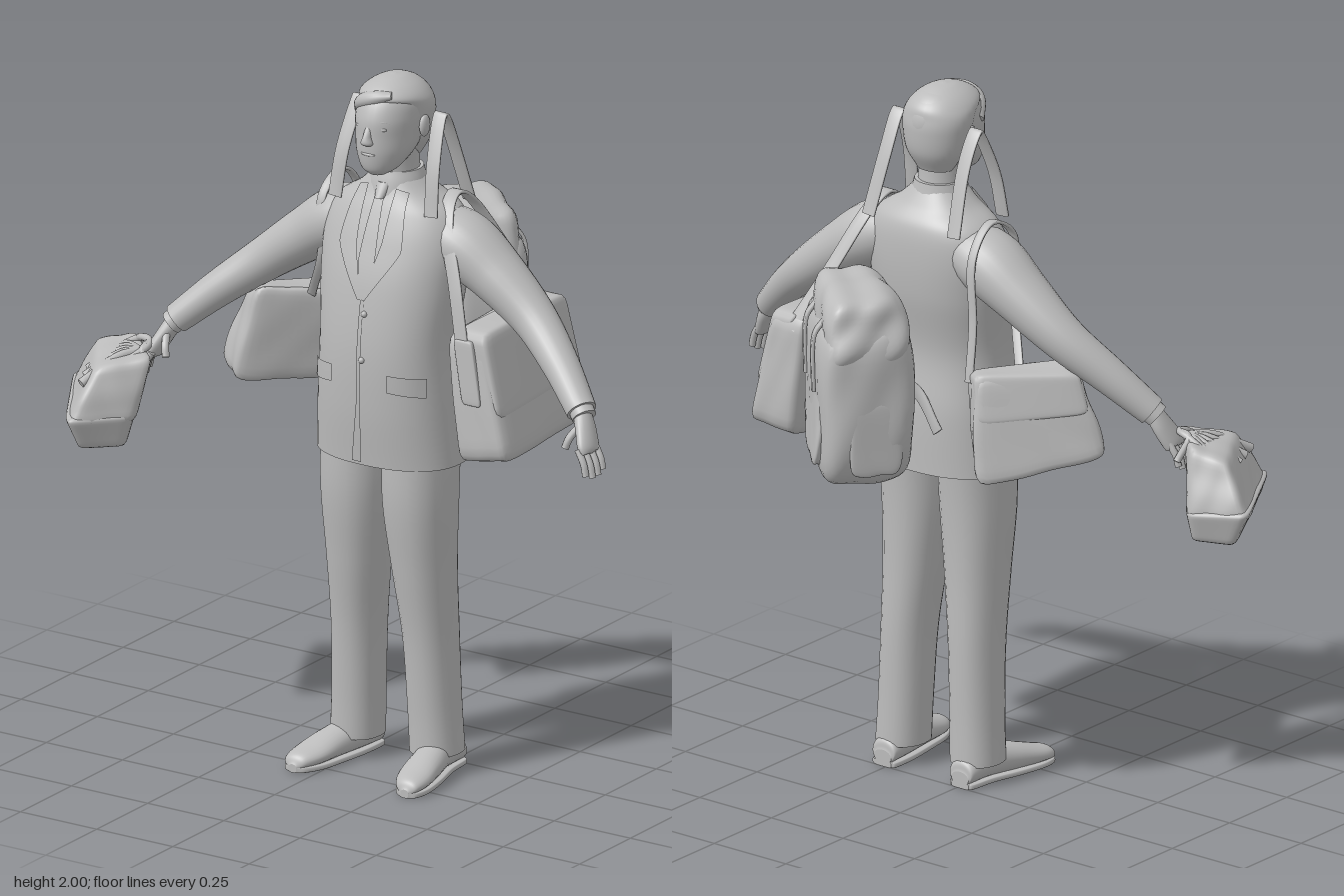
import * as THREE from 'three';
import { mergeVertices } from 'three/addons/utils/BufferGeometryUtils.js';

const grey = new THREE.MeshStandardMaterial({ color: 0xbcbcbc, side: THREE.DoubleSide });
grey.name = 'plain grey';
const V = (x, y, z) => new THREE.Vector3(x, y, z);
const X = V(1, 0, 0), Y = V(0, 1, 0), Z = V(0, 0, 1);

// Makes the faces point outward, then adds smooth normals
function finish(geo) {
  const p = geo.attributes.position, id = Array.from(geo.index.array);
  const a = V(), b = V(), c = V();
  let vol = 0;
  for (let i = 0; i < id.length; i += 3) {
    a.fromBufferAttribute(p, id[i]); b.fromBufferAttribute(p, id[i + 1]); c.fromBufferAttribute(p, id[i + 2]);
    vol += a.dot(b.cross(c));
  }
  if (vol < 0) for (let i = 0; i < id.length; i += 3) [id[i], id[i + 1]] = [id[i + 1], id[i]];
  geo.setIndex(id);
  geo.computeVertexNormals();
  return geo;
}

function add(parent, name, geo) {
  const m = new THREE.Mesh(geo, grey);
  m.name = name;
  parent.add(m);
  return m;
}

// Smooth path and radii through keys [x, y, z, radiusA, radiusB]
const curves = keys => [keys.map(k => V(k[0], k[1], k[2])), keys.map(k => V(k[3], k[4], 0))]
  .map(pts => new THREE.CatmullRomCurve3(pts, false, 'catmullrom'));

// Sweeps a (super)ellipse through the keys; radius B lies along ref
function sweep(keys, { ref = Z, axis = null, seg = 24, n = 8, power = 2 } = {}) {
  const [path, radii] = curves(keys);
  const rows = (keys.length - 1) * n, pos = [], idx = [];
  for (let i = 0; i <= rows; i++) {
    const c = path.getPoint(i / rows), r = radii.getPoint(i / rows);
    const t = axis || path.getTangent(i / rows);
    const a = V().crossVectors(t, ref).normalize(), b = V().crossVectors(a, t).normalize();
    for (let j = 0; j < seg; j++) {
      const w = j / seg * Math.PI * 2, cs = Math.cos(w), sn = Math.sin(w);
      const q = c.clone()
        .addScaledVector(a, Math.sign(cs) * Math.abs(cs) ** (2 / power) * Math.max(r.x, 0.001))
        .addScaledVector(b, Math.sign(sn) * Math.abs(sn) ** (2 / power) * Math.max(r.y, 0.001));
      pos.push(q.x, q.y, q.z);
      if (i < rows) {
        const u = i * seg + j, v = i * seg + (j + 1) % seg;
        idx.push(u, v, v + seg, u, v + seg, u + seg);
      }
    }
  }
  for (const row of [0, rows]) { // end caps with their own corners
    const s = pos.length / 3;
    pos.push(...pos.slice(row * seg * 3, (row + 1) * seg * 3));
    for (let j = 1; j < seg - 1; j++) row ? idx.push(s, s + j, s + j + 1) : idx.push(s, s + j + 1, s + j);
  }
  const g = new THREE.BufferGeometry();
  g.setAttribute('position', new THREE.Float32BufferAttribute(pos, 3));
  g.setIndex(idx);
  return finish(g);
}
const cord = (pts, r) => sweep(pts.map(p => [...p, r, r]), { seg: 8, ref: V(0.3, 0.2, 1) });
const band = (pts, width, ref = X) => sweep(pts.map(p => [...p, 0.005, width / 2]), { seg: 8, power: 8, ref });

// Soft box fitted between a bottom and a top quad, each four [x, y, z] corners in order
function softBox(bottom, top, k = 7, fold = 0) {
  let g = new THREE.BoxGeometry(2, 2, 2, 14, 14, 14);
  g.deleteAttribute('normal'); g.deleteAttribute('uv');
  g = mergeVertices(g, 1e-4);
  const p = g.attributes.position;
  const mix = (q, u, v) => V(...q[0]).lerp(V(...q[1]), u).lerp(V(...q[3]).lerp(V(...q[2]), u), v);
  for (let i = 0; i < p.count; i++) {
    const c = V().fromBufferAttribute(p, i);
    c.divideScalar((Math.abs(c.x) ** k + Math.abs(c.y) ** k + Math.abs(c.z) ** k) ** (1 / k));
    const d = 1 + fold * (Math.sin(c.x * 6 + c.y * 4) + Math.sin(c.z * 7 - c.y * 5 + 1)) / 2;
    c.multiplyScalar(d);
    const u = (c.x + 1) / 2, v = (c.z + 1) / 2;
    const q = mix(bottom, u, v).lerp(mix(top, u, v), (c.y + 1) / 2);
    p.setXYZ(i, q.x, q.y, q.z);
  }
  return finish(g);
}
const atY = (quad, y) => quad.map(([x, z]) => [x, y, z]);

// Jacket body
const TORSO = [[0, 0.91, 0.105, 0.22, 0.155], [0, 1.08, 0.115, 0.207, 0.16], [0, 1.25, 0.125, 0.196, 0.15],
  [0, 1.42, 0.1, 0.21, 0.152], [0, 1.54, 0.08, 0.215, 0.138], [0, 1.62, 0.07, 0.185, 0.118],
  [0, 1.67, 0.075, 0.115, 0.09], [0, 1.71, 0.08, 0.072, 0.07]];
const [torsoPath, torsoRadii] = curves(TORSO);
function frontZ(x, y) {
  let lo = 0, hi = 1;
  for (let i = 0; i < 20; i++) {
    const mid = (lo + hi) / 2;
    if (torsoPath.getPoint(mid).y < y) lo = mid; else hi = mid;
  }
  const r = torsoRadii.getPoint(lo);
  return torsoPath.getPoint(lo).z + r.y * Math.max(0, 1 - Math.abs(x / r.x) ** 2.3) ** (1 / 2.3);
}
// Thin cloth patch on the jacket front, between two edges of [x, y] points
function patch(edgeA, edgeB, lift, side = 1) {
  const curve = e => new THREE.CatmullRomCurve3(e.map(p => V(p[0], p[1], 0)), false, 'catmullrom', 0.2);
  const a = curve(edgeA), b = curve(edgeB), g = new THREE.PlaneGeometry(1, 1, 6, 24), p = g.attributes.position;
  for (let i = 0; i < p.count; i++) {
    const u = p.getX(i) + 0.5, q = a.getPoint(p.getY(i) + 0.5).lerp(b.getPoint(p.getY(i) + 0.5), u);
    p.setXYZ(i, q.x * side, q.y, frontZ(q.x, q.y) + lift);
  }
  const id = g.index.array, c = [0, 1, 2].map(k => V().fromBufferAttribute(p, id[72 * 2 + k]));
  if (c[1].sub(c[0]).cross(c[2].sub(c[0])).z < 0) g.setIndex(Array.from(id).reverse());
  g.computeVertexNormals();
  return g;
}

function buildMan() {
  const man = new THREE.Group();
  man.name = 'man';
  add(man, 'jacket', sweep(TORSO, { axis: Y, seg: 48, power: 2.3 }));
  add(man, 'tie', patch([[-0.014, 1.67], [-0.026, 1.5], [-0.008, 1.39]], [[0.014, 1.67], [0.026, 1.5], [0.008, 1.39]], 0.006));
  add(man, 'tieKnot', sweep([[0, 1.7, 0.15, 0.022, 0.014], [0, 1.66, 0.172, 0.014, 0.014]], { axis: Y }));
  add(man, 'frontOpening', patch([[-0.004, 1.39], [-0.006, 1.1], [-0.03, 0.92]], [[0.008, 1.39], [0.008, 1.1], [0.0, 0.92]], 0.004));
  for (const y of [1.35, 1.22]) add(man, 'button', new THREE.SphereGeometry(0.009, 12, 8)).position.set(0.01, y, frontZ(0, y));

  // Head
  add(man, 'neck', sweep([[0, 1.64, 0.075, 0.07, 0.07], [0, 1.73, 0.085, 0.062, 0.064], [0, 1.82, 0.095, 0.062, 0.07]], { axis: Y }));
  add(man, 'collar', sweep([[0, 1.66, 0.082, 0.088, 0.088], [0, 1.7, 0.082, 0.08, 0.078], [0, 1.73, 0.08, 0.07, 0.07]], { axis: Y }));
  add(man, 'head', sweep([[0, 1.735, 0.18, 0.024, 0.025], [0, 1.755, 0.165, 0.052, 0.06], [0, 1.8, 0.137, 0.077, 0.097],
    [0, 1.85, 0.115, 0.087, 0.119], [0, 1.9, 0.105, 0.092, 0.125], [0, 1.95, 0.1, 0.085, 0.108], [0, 1.983, 0.1, 0.055, 0.072],
    [0, 1.997, 0.1, 0.01, 0.01]], { axis: Y, seg: 36 }));
  add(man, 'hair', sweep([[0, 1.765, 0.06, 0.055, 0.042], [0, 1.82, 0.062, 0.086, 0.074], [0, 1.885, 0.07, 0.1, 0.09],
    [0, 1.925, 0.08, 0.101, 0.096], [0, 1.953, 0.1, 0.09, 0.108], [0, 1.977, 0.102, 0.066, 0.083], [0, 1.994, 0.1, 0.034, 0.044],
    [0, 2.0, 0.1, 0.005, 0.005]], { axis: Y, seg: 36 }));
  add(man, 'fringe', sweep([[0.045, 1.965, 0.177, 0.01, 0.02], [0, 1.955, 0.195, 0.02, 0.022], [-0.045, 1.935, 0.188, 0.02, 0.022],
    [-0.08, 1.9, 0.145, 0.012, 0.02]], { seg: 16 }));
  add(man, 'nose', sweep([[0, 1.885, 0.218, 0.01, 0.012], [0, 1.855, 0.232, 0.012, 0.016], [0, 1.835, 0.234, 0.018, 0.017], [0, 1.825, 0.225, 0.008, 0.008]], { axis: Y, seg: 16 }));
  for (const [y, z] of [[1.802, 0.226], [1.792, 0.222]]) {
    const lip = add(man, 'lip', new THREE.SphereGeometry(1, 16, 8));
    lip.position.set(0, y, z); lip.scale.set(0.026, 0.006, 0.011);
  }

  for (const s of [1, -1]) {
    const ear = add(man, 'ear', new THREE.SphereGeometry(1, 16, 12));
    ear.position.set(s * 0.096, 1.865, 0.095); ear.scale.set(0.012, 0.032, 0.021);
    const eye = add(man, 'eye', new THREE.SphereGeometry(1, 12, 8));
    eye.position.set(s * 0.036, 1.876, 0.213); eye.scale.set(0.014, 0.007, 0.009);
    add(man, 'eyebrow', cord([[s * 0.015, 1.893, 0.222], [s * 0.038, 1.897, 0.214], [s * 0.058, 1.891, 0.197]], 0.005));

    // Jacket front
    add(man, 'lapel', patch([[0.045, 1.69], [0.04, 1.55], [0.002, 1.39]], [[0.08, 1.68], [0.1, 1.53], [0.012, 1.39]], 0.009, s));
    add(man, 'pocketFlap', patch([[0.09, 1.19], [0.09, 1.14]], [[0.18, 1.18], [0.18, 1.125]], 0.008, s));

    // Arm and hand
    add(man, 'sleeve', sweep([[s * 0.1, 1.57, 0.06, 0.07, 0.085], [s * 0.2, 1.53, 0.055, 0.09, 0.1], [s * 0.31, 1.46, 0.055, 0.077, 0.085],
      [s * 0.44, 1.365, 0.07, 0.062, 0.065], [s * 0.56, 1.27, 0.12, 0.051, 0.053], [s * 0.665, 1.175, 0.175, 0.042, 0.043]]));
    add(man, 'cuff', sweep([[s * 0.65, 1.19, 0.167, 0.034, 0.035], [s * 0.678, 1.162, 0.182, 0.034, 0.035]]));
    add(man, 'palm', sweep([[s * 0.668, 1.17, 0.178, 0.025, 0.027], [s * 0.69, 1.13, 0.192, 0.023, 0.036], [s * 0.712, 1.085, 0.212, 0.02, 0.04], [s * 0.718, 1.073, 0.215, 0.01, 0.03]]));
    for (let f = 0; f < 4; f++) {
      const z = 0.185 + f * 0.02, x = 0.722 - f * 0.006, len = [0.8, 0.95, 1, 0.9][f];
      add(man, 'finger', cord([[s * (x - 0.005), 1.09, z], [s * (x + 0.018 * len), 1.09 - 0.04 * len, z + 0.004], [s * (x + 0.028 * len), 1.09 - 0.078 * len, z + 0.006]], 0.01));
    }
    add(man, 'thumb', cord([[s * 0.68, 1.145, 0.2], [s * 0.664, 1.115, 0.232], [s * 0.655, 1.085, 0.243]], 0.011));

    // Leg and shoe
    add(man, 'trouserLeg', sweep([[s * 0.1, 1.0, 0.115, 0.1, 0.12], [s * 0.101, 0.8, 0.122, 0.099, 0.112], [s * 0.107, 0.6, 0.112, 0.084, 0.098],
      [s * 0.117, 0.4, 0.096, 0.072, 0.086], [s * 0.124, 0.2, 0.088, 0.071, 0.079], [s * 0.13, 0.06, 0.084, 0.073, 0.078]], { axis: Y, power: 2.2 }));
    const foot = [[0.135, -0.002, 0.03, 0.02], [0.135, 0.012, 0.042, 0.036], [0.14, 0.09, 0.046, 0.048], [0.158, 0.18, 0.052, 0.04],
      [0.172, 0.26, 0.052, 0.028], [0.182, 0.31, 0.036, 0.02], [0.184, 0.326, 0.012, 0.008]];
    add(man, 'shoe', sweep(foot.map(([x, z, w, h]) => [s * x, 0.008 + h, z, w, h]), { axis: Z, ref: Y }));
    add(man, 'sole', sweep(foot.map(([x, z, w]) => [s * x, 0.009, z, w, 0.009]), { axis: Z, ref: Y, power: 5 }));
  }
  man.position.x = 0.125;
  return man;
}

function buildBackpack() {
  const pack = new THREE.Group();
  pack.name = 'backpack';
  const base = [[-0.1, -0.285], [0.06, -0.515], [0.355, -0.245], [0.2, -0.065]];
  add(pack, 'packBody', softBox(atY(base, 0.985), atY(base, 1.46), 5, 0.025));
  add(pack, 'packLid', softBox(atY([[-0.105, -0.285], [0.06, -0.52], [0.355, -0.235], [0.2, -0.06]], 1.32),
    atY([[-0.05, -0.285], [0.065, -0.47], [0.31, -0.24], [0.195, -0.115]], 1.53), 5, 0.05));
  add(pack, 'frontPocket', softBox(atY([[0.09, -0.44], [0.12, -0.485], [0.3, -0.3], [0.27, -0.26]], 1.04), atY([[0.09, -0.43], [0.11, -0.465], [0.29, -0.29], [0.27, -0.26]], 1.28), 6, 0.03));
  add(pack, 'sidePocket', softBox(atY([[-0.05, -0.31], [-0.075, -0.33], [0.01, -0.46], [0.03, -0.43]], 1.03), atY([[-0.05, -0.31], [-0.065, -0.33], [0.01, -0.45], [0.03, -0.43]], 1.24), 6, 0.03));
  for (const t of [0.32, 0.68]) {
    const x = 0.06 + 0.295 * t, z = -0.52 + 0.275 * t;
    add(pack, 'lidStrap', band([[x - 0.02, 1.46, z + 0.02], [x + 0.004, 1.4, z], [x + 0.004, 1.25, z]], 0.025, V(0.73, 0, 0.68)));
  }
  // Shoulder straps standing up beside the head
  for (const [x, w] of [[-0.01, -0.02], [0.26, 0.025]]) add(pack, 'packStrap', band([[x + w, 1.63, 0.16], [x + w * 0.6, 1.76, 0.135],
    [x, 1.88, 0.085], [x, 1.89, 0.06], [x, 1.79, 0.01], [x + w * 0.6, 1.62, -0.045]], 0.042));
  add(pack, 'looseStrap', band([[0.02, 1.05, -0.06], [0.1, 1.15, -0.055], [0.17, 1.2, -0.12]], 0.035, Y));
  return pack;
}

function buildBags() {
  const bags = new THREE.Group();
  bags.name = 'bags';
  // Large satchel under the left arm
  add(bags, 'satchel', softBox([[0.4, 0.985, -0.225], [0.565, 1.0, -0.225], [0.575, 0.98, 0.215], [0.4, 0.945, 0.215]],
    [[0.365, 1.34, -0.21], [0.485, 1.34, -0.21], [0.475, 1.325, 0.19], [0.345, 1.315, 0.19]], 10, 0.006));
  add(bags, 'satchelFlap', softBox([[0.48, 1.12, -0.215], [0.538, 1.12, -0.215], [0.542, 1.1, 0.2], [0.48, 1.1, 0.2]],
    [[0.4, 1.345, -0.205], [0.488, 1.345, -0.205], [0.482, 1.335, 0.19], [0.38, 1.335, 0.19]], 12));
  add(bags, 'satchelTab', softBox([[0.42, 1.13, 0.19], [0.48, 1.13, 0.19], [0.48, 1.13, 0.212], [0.42, 1.13, 0.212]],
    [[0.385, 1.31, 0.18], [0.445, 1.31, 0.18], [0.445, 1.31, 0.203], [0.385, 1.31, 0.203]], 10));
  add(bags, 'satchelStrap', band([[0.41, 1.29, 0.195], [0.37, 1.45, 0.17], [0.31, 1.6, 0.12], [0.28, 1.665, 0.04],
    [0.29, 1.62, -0.04], [0.35, 1.46, -0.125], [0.42, 1.3, -0.205]], 0.04));

  // Shoulder bag behind the right arm
  add(bags, 'shoulderBag', softBox([[-0.475, 1.05, 0.08], [-0.36, 1.02, 0.17], [-0.13, 1.01, -0.09], [-0.22, 0.97, -0.2]],
    [[-0.385, 1.27, 0.06], [-0.305, 1.3, 0.125], [-0.09, 1.26, -0.08], [-0.175, 1.28, -0.145]], 10, 0.02));
  add(bags, 'shoulderBagFlap', softBox([[-0.42, 1.17, 0.055], [-0.38, 1.17, 0.085], [-0.17, 1.15, -0.12], [-0.2, 1.15, -0.165]],
    [[-0.385, 1.28, 0.055], [-0.31, 1.3, 0.11], [-0.1, 1.27, -0.085], [-0.17, 1.285, -0.14]], 10));
  add(bags, 'shoulderBagStrap', band([[-0.12, 1.24, -0.1], [-0.11, 1.4, -0.07], [-0.09, 1.57, -0.05], [-0.09, 1.66, 0.03],
    [-0.1, 1.6, 0.12], [-0.1, 1.44, 0.12], [-0.2, 1.27, 0.02]], 0.025));

  // Carry bag in the right hand, gathered at the top
  const middle = [[-0.895, 0.93, 0.16], [-0.71, 0.91, 0.1], [-0.55, 0.92, 0.36], [-0.69, 0.92, 0.51]];
  add(bags, 'carryBag', softBox(middle, [[-0.79, 1.08, 0.19], [-0.68, 1.11, 0.16], [-0.53, 1.1, 0.3], [-0.65, 1.08, 0.41]], 10, 0.02));
  add(bags, 'carryBagBase', softBox(atY([[-0.83, 0.17], [-0.71, 0.13], [-0.585, 0.36], [-0.68, 0.45]], 0.845),
    middle.map(([x, y, z]) => [x, y + 0.03, z]), 10));
  for (let i = 0; i < 5; i++) {
    const t = i / 4;
    add(bags, 'gather', cord([[-0.6, 1.095, 0.26], [-0.68 + 0.04 * t, 1.085, 0.22 + 0.1 * t], [-0.79 + 0.1 * t, 1.03, 0.2 + 0.22 * t]], 0.013));
  }
  for (const d of [0, 1]) add(bags, 'carryHandle', cord([[-0.74 + 0.11 * d, 1.05, 0.22 - 0.05 * d], [-0.64, 1.11, 0.21], [-0.595, 1.115, 0.225],
    [-0.59, 1.1, 0.27], [-0.66 + 0.1 * d, 1.04, 0.37 - 0.06 * d]], 0.01));
  return bags;
}

export function createModel() {
  const model = new THREE.Group();
  model.name = 'travellerWithBags';
  model.add(buildMan(), buildBackpack(), buildBags());
  return model;
}
